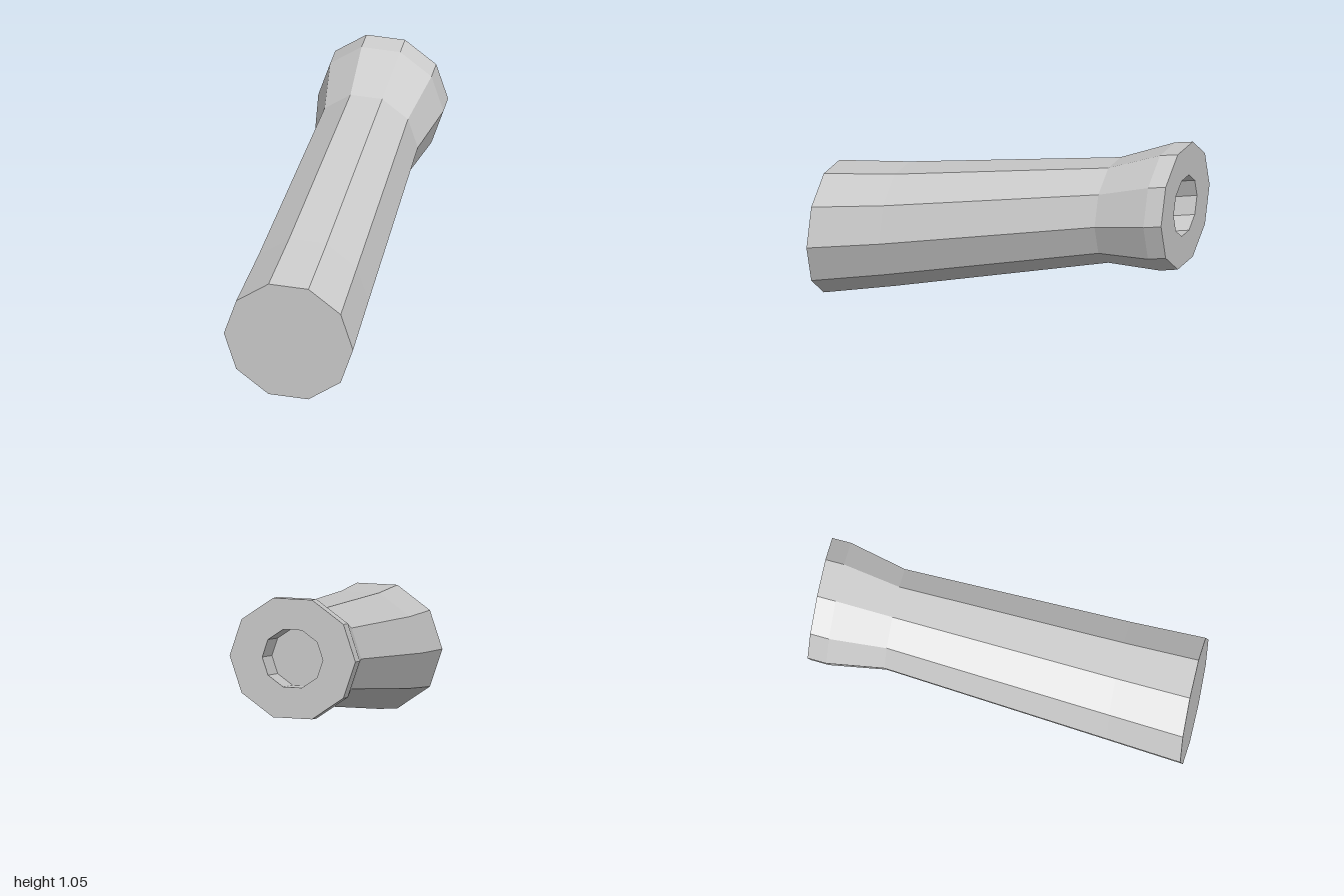
import * as THREE from 'three';

const SIDES = 10;

// Skin between ten-sided rings, each given as [z, centre height, radius].
// Order from front to back gives outward faces; radius 0 closes an end.
function loft(rings, material, name) {
  const positions = [];
  const point = ([z, y, r], i) => {
    const a = (i % SIDES) * Math.PI * 2 / SIDES;
    return [r * Math.cos(a), y + r * Math.sin(a), z];
  };
  for (let k = 0; k < rings.length - 1; k++) {
    const a = rings[k], b = rings[k + 1];
    for (let i = 0; i < SIDES; i++) {
      const a0 = point(a, i), a1 = point(a, i + 1);
      const b0 = point(b, i), b1 = point(b, i + 1);
      if (b[2] > 0) positions.push(...a0, ...b0, ...b1);
      if (a[2] > 0) positions.push(...a0, ...b1, ...a1);
    }
  }
  const geometry = new THREE.BufferGeometry();
  geometry.setAttribute('position', new THREE.Float32BufferAttribute(positions, 3));
  geometry.computeVertexNormals();
  const mesh = new THREE.Mesh(geometry, material);
  mesh.name = name;
  return mesh;
}

export function createModel() {
  const group = new THREE.Group();
  group.name = 'barrel';
  const grey = new THREE.MeshStandardMaterial({ color: 0xcccccc, flatShading: true });
  grey.name = 'light grey';

  const front = [1, 0.336, 0.35];
  const neck = [-0.6, 0.655, 0.279];
  const back = [-1, 0.736, 0.338];
  const hole = [-1, 0.736, 0.163];
  const floor = [-0.77, 0.69, 0.163];

  // Flat closed front end
  group.add(loft([[1, 0.336, 0], front], grey, 'frontCap'));
  // Rising, tapering tube
  group.add(loft([front, [0.6, 0.407, 0.329], neck], grey, 'tube'));
  // Flared collar at the raised end
  group.add(loft([neck, [-0.9, 0.717, 0.339], back], grey, 'flare'));
  // Flat ring around the opening
  group.add(loft([back, hole], grey, 'rim'));
  // Blind hole with its floor
  group.add(loft([hole, floor, [-0.77, 0.69, 0]], grey, 'bore'));
  return group;
}
